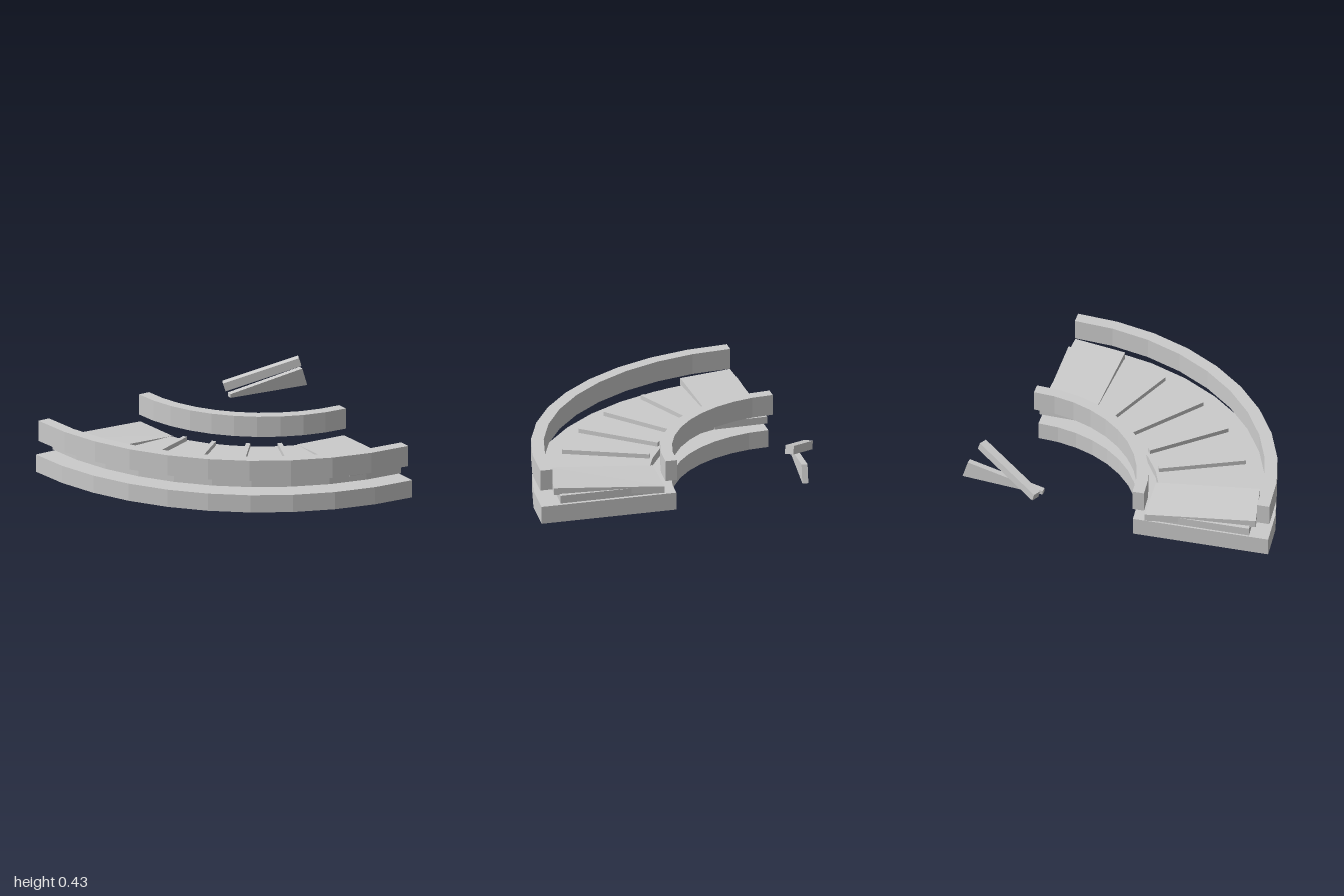
import * as THREE from 'three';

const CX = 0.71, CZ = -0.8; // centre of the bend
const material = new THREE.MeshStandardMaterial({ color: 0xcccccc, flatShading: true });

function addMesh(group, name, geometry) {
  const mesh = new THREE.Mesh(geometry, material);
  mesh.name = name;
  group.add(mesh);
  return mesh;
}

// Slab from a ground-plan outline of [x, z] points
function slab(points, bottom, top) {
  const shape = new THREE.Shape(points.map(([x, z]) => new THREE.Vector2(x, z)));
  const geo = new THREE.ExtrudeGeometry(shape, { depth: top - bottom, bevelEnabled: false });
  return geo.rotateX(Math.PI / 2).translate(0, top, 0);
}

// Quarter ring with ten straight facets
function quarterRing(cx, cz, inner, outer, bottom, top, steps = 10) {
  const points = [];
  const at = (r, i) => {
    const a = (i / steps) * Math.PI / 2;
    points.push([cx - r * Math.cos(a), cz + r * Math.sin(a)]);
  };
  for (let i = 0; i <= steps; i++) at(outer, i);
  for (let i = steps; i >= 0; i--) at(inner, i);
  return slab(points, bottom, top);
}

// Raise the outside of the bend
function bank(geo, rise) {
  const p = geo.attributes.position;
  for (let i = 0; i < p.count; i++) {
    const r = Math.hypot(p.getX(i) - CX, p.getZ(i) - CZ);
    p.setY(i, p.getY(i) + rise * (r - 0.93) / 0.67);
  }
  geo.computeVertexNormals();
  return geo;
}

// Square beam between two points
function beam(a, b, width, height) {
  const from = new THREE.Vector3(...a), to = new THREE.Vector3(...b);
  const geo = new THREE.BoxGeometry(width, height, from.distanceTo(to));
  const pose = new THREE.Object3D();
  pose.position.copy(from).add(to).multiplyScalar(0.5);
  pose.lookAt(to);
  pose.updateMatrix();
  return geo.applyMatrix4(pose.matrix);
}

export function createModel() {
  const group = new THREE.Group();

  // Base, deck and side walls
  addMesh(group, 'base', quarterRing(CX, CZ, 0.83, 1.71, 0, 0.115));
  addMesh(group, 'deck', quarterRing(CX, CZ, 0.97, 1.585, 0.125, 0.177));
  addMesh(group, 'outerWall', quarterRing(0.68, -0.77, 1.6, 1.68, 0.215, 0.35));
  addMesh(group, 'innerWall', quarterRing(0.74, -0.83, 0.865, 0.94, 0.215, 0.35));

  // Plates and slats, mirrored about the diagonal of the bend
  const plate = [[1.62, 0.035], [0.91, -0.015], [0.895, 0.33], [1.56, 0.375]];
  const slats = [[[1.39, 0.67], [0.88, 0.45]], [[1.195, 0.97], [0.775, 0.62]]];
  for (const mirrored of [false, true]) {
    const place = ([u, v]) => mirrored ? [CX - v, CZ + u] : [CX - u, CZ + v];
    const end = mirrored ? 'front' : 'back';
    addMesh(group, end + 'EndPlate', bank(slab(plate.map(place), 0.128, 0.175), 0.042));
    slats.forEach(([a, b], i) => {
      const [ax, az] = place(a), [bx, bz] = place(b);
      addMesh(group, `${end}Slat${i + 1}`, beam([ax, 0.192, az], [bx, 0.192, bz], 0.028, 0.028));
    });
  }

  // Loose beam lying across a wedge-shaped plank
  addMesh(group, 'looseBeam', beam([0.485, 0.25, -0.895], [0.9, 0.408, -0.657], 0.055, 0.055));
  const side = new THREE.Shape([
    [-0.27, 0.21], [0.27, 0.21], [0.235, 0.325], [-0.27, 0.235],
  ].map(([x, y]) => new THREE.Vector2(x, y)));
  const plank = new THREE.ExtrudeGeometry(side, { depth: 0.038, bevelEnabled: false });
  plank.translate(0, 0, -0.019).rotateY(-0.12).translate(0.73, 0, -0.767);
  addMesh(group, 'wedgePlank', plank);

  return group;
}
